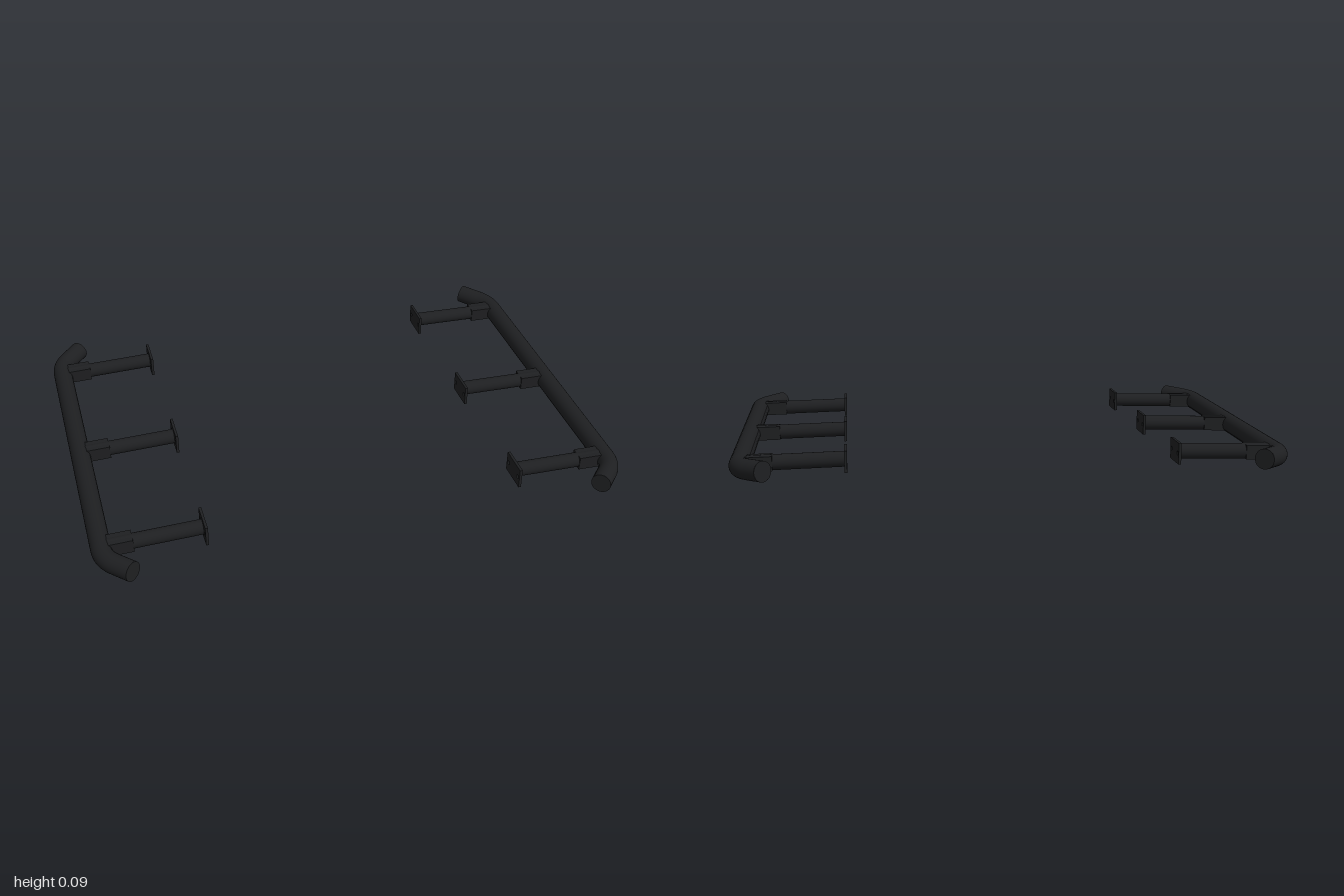
import * as THREE from 'three';

const paint = new THREE.MeshStandardMaterial({ color: 0x1e1f21 });

const RAIL_R = 0.037;
const ARM_TILT = 0.025;

function mesh(name, geometry) {
  const m = new THREE.Mesh(geometry, paint);
  m.name = name;
  return m;
}

// Long rail: straight run with both ends bent inward and slightly up
function makeRail() {
  const v = (x, y, z) => new THREE.Vector3(x, y, z);
  const path = new THREE.CurvePath();
  const end = v(0.874, 0.047, 0.722), bend = v(0.963, 0.04, 0.623);
  const dir = end.clone().sub(bend).normalize();
  const inner = v(0.963, 0.04, 0.57), outer = bend.clone().addScaledVector(dir, 0.053);
  const flip = (p) => v(p.x, p.y, -p.z);
  path.add(new THREE.LineCurve3(flip(end), flip(outer)));
  path.add(new THREE.QuadraticBezierCurve3(flip(outer), flip(bend), flip(inner)));
  path.add(new THREE.LineCurve3(flip(inner), inner));
  path.add(new THREE.QuadraticBezierCurve3(inner, bend, outer));
  path.add(new THREE.LineCurve3(outer, end));

  const rail = new THREE.Group();
  rail.name = 'sideRail';
  rail.add(mesh('railTube', new THREE.TubeGeometry(path, 160, RAIL_R, 28)));
  // Flat caps closing the tube
  for (const s of [1, -1]) {
    const cap = mesh('railEndCap', new THREE.CircleGeometry(RAIL_R, 28));
    cap.position.set(end.x, end.y, s * end.z);
    cap.quaternion.setFromUnitVectors(v(0, 0, 1), v(dir.x, dir.y, s * dir.z));
    rail.add(cap);
  }
  return rail;
}

// Mounting plate with two bolt holes, facing along x
function makePlate() {
  const w = 0.06, h = 0.039;
  const shape = new THREE.Shape();
  shape.moveTo(-w, -h).lineTo(w, -h).lineTo(w, h).lineTo(-w, h).closePath();
  for (const s of [-1, 1]) {
    const hole = new THREE.Path();
    hole.absarc(s * 0.044, 0, 0.008, 0, Math.PI * 2, true);
    shape.holes.push(hole);
  }
  const geometry = new THREE.ExtrudeGeometry(shape, { depth: 0.01, bevelEnabled: false, curveSegments: 10 });
  geometry.rotateY(Math.PI / 2);
  return mesh('mountingPlate', geometry);
}

// Arm from the plate to the rail, with a sleeve at the rail end
function makeBracket(z) {
  const bracket = new THREE.Group();
  bracket.name = 'bracket';
  bracket.position.z = z;

  const plate = makePlate();
  plate.position.set(0.59, 0.051, 0);

  const arm = mesh('arm', new THREE.CylinderGeometry(0.028, 0.028, 0.35, 24).rotateZ(Math.PI / 2));
  arm.position.set(0.772, 0.046, 0);
  arm.rotation.z = -ARM_TILT;

  const sleeve = mesh('armSleeve', new THREE.BoxGeometry(0.1, 0.052, 0.06));
  sleeve.position.set(0.9, 0.043, 0);
  sleeve.rotation.z = -ARM_TILT;

  bracket.add(plate, arm, sleeve);
  return bracket;
}

export function createModel() {
  const model = new THREE.Group();
  model.name = 'sideSteps';
  // Half a turn gives the opposite side, as each step is symmetric along z
  for (const side of ['left', 'right']) {
    const step = new THREE.Group();
    step.name = side + 'Step';
    step.add(makeRail());
    for (const z of [-0.56, 0, 0.56]) step.add(makeBracket(z));
    if (side === 'right') step.rotation.y = Math.PI;
    model.add(step);
  }
  model.position.y = -0.003;
  return model;
}
